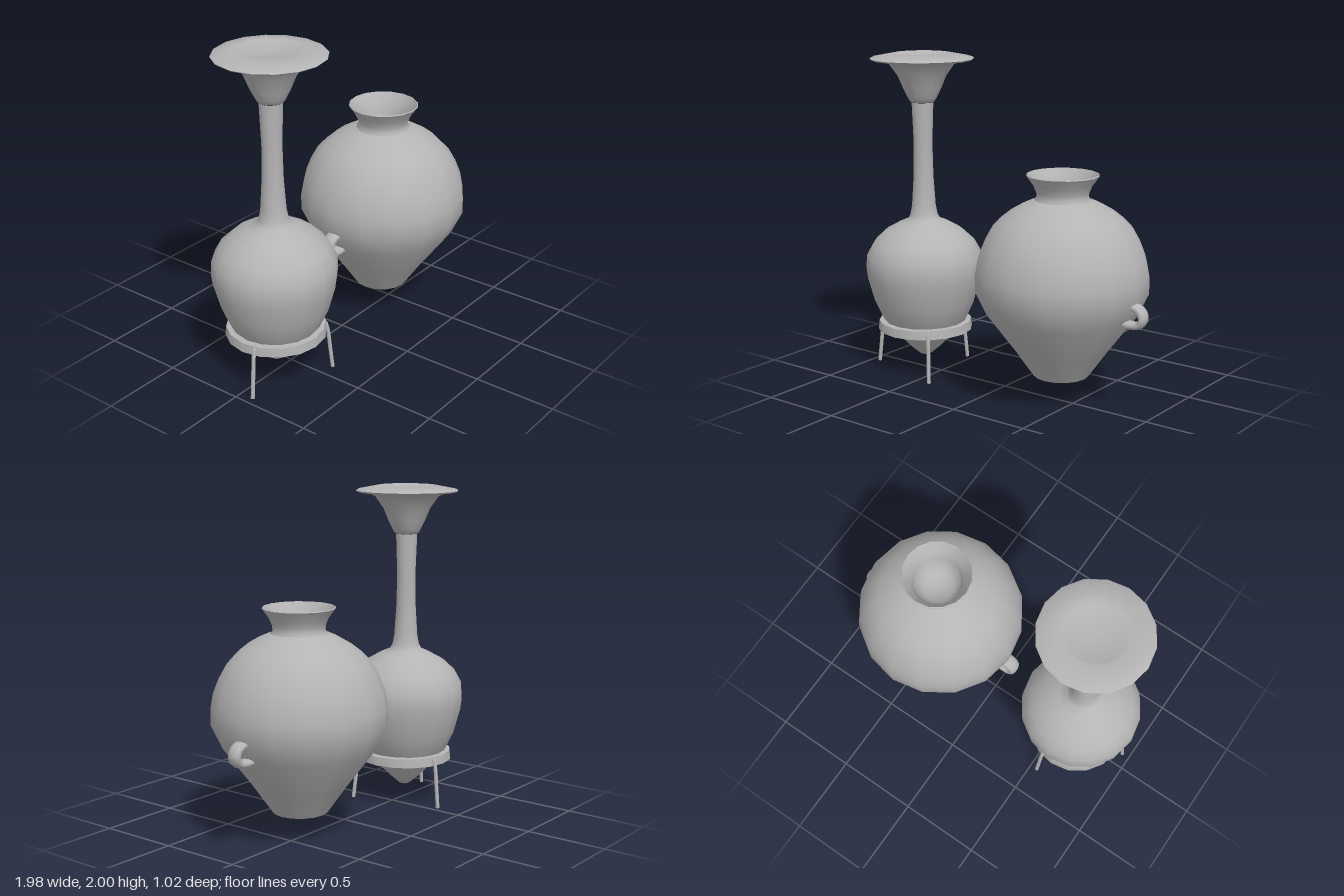
import * as THREE from 'three';
import { toCreasedNormals } from 'three/addons/utils/BufferGeometryUtils.js';

const clay = new THREE.MeshStandardMaterial({ color: 0xb4b4b4 });
clay.name = 'clay';

function add(parent, name, geometry) {
  const mesh = new THREE.Mesh(geometry, clay);
  mesh.name = name;
  parent.add(mesh);
  return mesh;
}

// Sixteen-sided turned form from [radius, height] pairs, sharp only at strong corners
function turned(profile) {
  const points = profile.map(([r, y]) => new THREE.Vector2(r, y));
  return toCreasedNormals(new THREE.LatheGeometry(points, 16), 0.85);
}

// Capped round rod along a smooth path of [x, y] pairs in the xy plane
function rod(parent, name, path, radius, depthScale = 1) {
  const points = path.map(([x, y]) => new THREE.Vector3(x, y, 0));
  const curve = new THREE.CatmullRomCurve3(points);
  const mesh = add(parent, name, new THREE.TubeGeometry(curve, 16, radius, 10));
  mesh.scale.z = depthScale;
  return mesh;
}

function createBottle() {
  const bottle = new THREE.Group();
  bottle.name = 'longNeckedBottle';

  // Pointed body, slender neck and trumpet mouth with a shallow dished top
  add(bottle, 'bottleBody', turned([
    [0, 0.08], [0.035, 0.092], [0.09, 0.14], [0.21, 0.26], [0.265, 0.335],
    [0.317, 0.45], [0.358, 0.6], [0.366, 0.67], [0.36, 0.75], [0.315, 0.83],
    [0.24, 0.9], [0.15, 0.95], [0.1, 0.972], [0.085, 1.0], [0.074, 1.06],
    [0.062, 1.24], [0.058, 1.45], [0.067, 1.7],
  ]));
  add(bottle, 'trumpetMouth', turned([
    [0.06, 1.7], [0.076, 1.705], [0.09, 1.73], [0.115, 1.78], [0.148, 1.86],
    [0.2, 1.933], [0.235, 1.95], [0.305, 1.957], [0.32, 1.967], [0.31, 1.975],
    [0.18, 2.0], [0.165, 1.993], [0, 1.985],
  ]));

  // Stand ring hugging the lower body
  add(bottle, 'standRing', turned([
    [0.21, 0.268], [0.297, 0.265], [0.291, 0.32], [0.25, 0.322], [0.21, 0.268],
  ]));

  // Three splayed legs hooked over the ring
  for (const degrees of [-47, 75, 195]) {
    const leg = new THREE.Group();
    leg.name = 'standLeg';
    leg.rotation.y = THREE.MathUtils.degToRad(degrees);
    rod(leg, 'legRod', [[0.25, 0.305], [0.282, 0.312], [0.3, 0.265], [0.316, 0.13], [0.33, 0.002]], 0.012);
    const foot = add(leg, 'legFoot', new THREE.CylinderGeometry(0.012, 0.012, 0.004, 10));
    foot.position.set(0.33, 0.002, 0);
    bottle.add(leg);
  }
  return bottle;
}

function createJar() {
  const jar = new THREE.Group();
  jar.name = 'twoHandledJar';

  // Closed flat base, wide shoulder, flared neck and bowl-shaped inside
  add(jar, 'jarBody', turned([
    [0, 0.165], [0.165, 0.165], [0.28, 0.33], [0.445, 0.55], [0.511, 0.69],
    [0.511, 0.79], [0.494, 0.88], [0.46, 0.965], [0.415, 1.045], [0.36, 1.103],
    [0.3, 1.15], [0.235, 1.188], [0.165, 1.218],
  ]));
  add(jar, 'jarNeck', turned([
    [0.165, 1.215], [0.151, 1.235], [0.155, 1.265], [0.172, 1.305], [0.213, 1.362],
    [0.208, 1.367], [0.165, 1.31], [0.145, 1.26], [0.135, 1.2], [0.09, 1.15], [0, 1.13],
  ]));

  // Broad loop handles on opposite sides
  for (const turn of [0, Math.PI]) {
    const handle = new THREE.Group();
    handle.name = turn ? 'rightHandle' : 'leftHandle';
    handle.rotation.y = turn;
    rod(handle, 'handleLoop', [
      [0.45, 0.664], [0.495, 0.664], [0.537, 0.643], [0.553, 0.6],
      [0.535, 0.566], [0.5, 0.555], [0.42, 0.556],
    ], 0.023, 1.95);
    jar.add(handle);
  }
  return jar;
}

export function createModel() {
  const model = new THREE.Group();
  model.name = 'pottery';
  const bottle = createBottle();
  bottle.position.x = -0.631;
  const jar = createJar();
  jar.position.x = 0.414;
  model.add(bottle, jar);
  return model;
}
